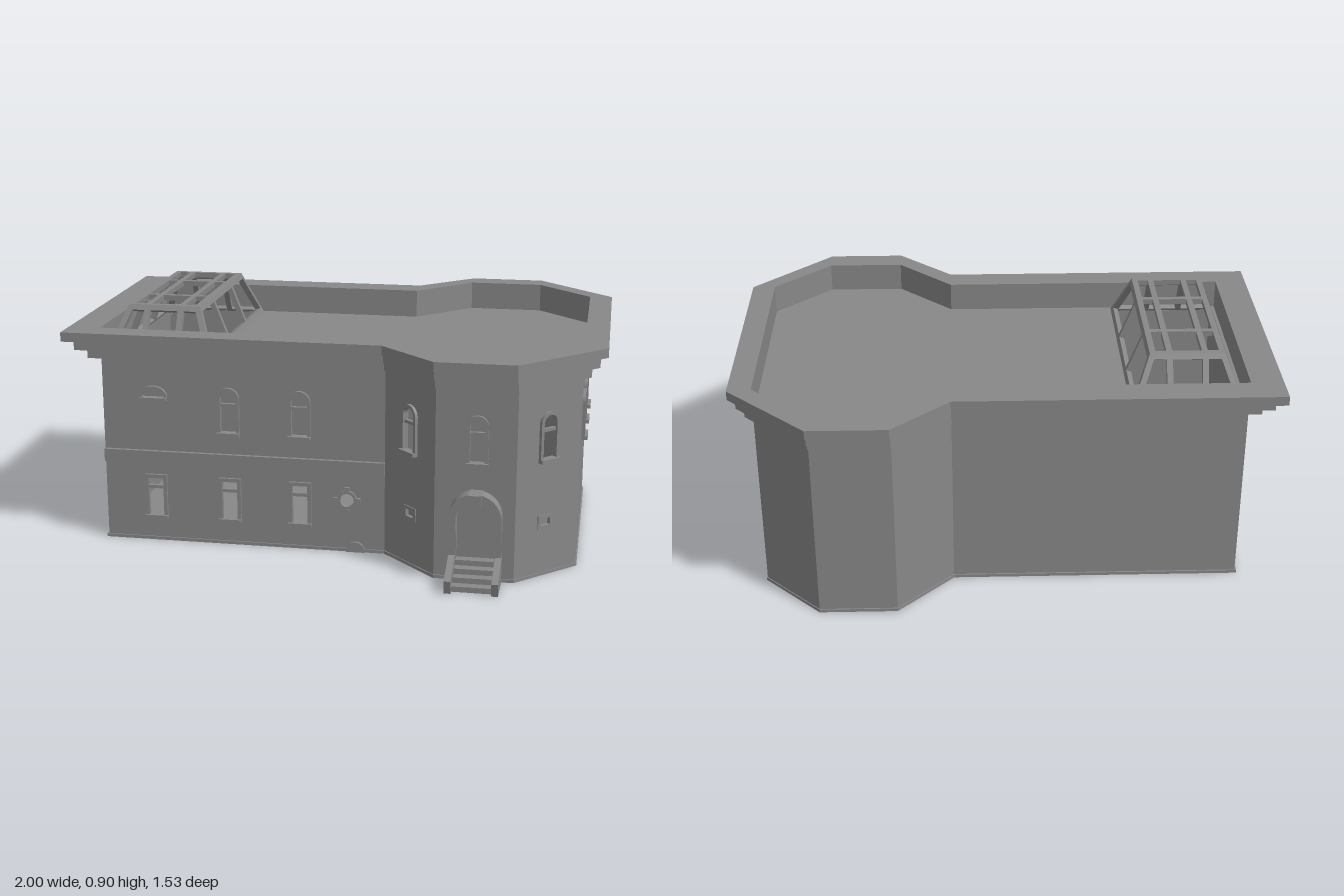
import * as THREE from 'three';

const mat = new THREE.MeshStandardMaterial({ color: 0x888888, flatShading: true, side: THREE.DoubleSide });

// Plan corners: x, z and the direction in which the cornice grows there
const PLAN = [
  [-0.88, 0.4, -1.2, 1], [0.2, 0.4, 0, 1], [0.41, 0.605, 0, 0.95], [0.7, 0.605, 0, 0.95], [0.913, 0.4, 0.87, 0],
  [0.913, -0.468, 0.87, -0.12], [0.7, -0.677, 0, -0.93], [0.41, -0.677, 0, -0.93], [0.2, -0.468, 0, -1.1],
  [-0.88, -0.468, -1.2, -1.1],
];
const TOP = 0.72, THICK = 0.02;

function add(parent, name, geometry, x = 0, y = 0, z = 0) {
  const m = new THREE.Mesh(geometry, mat);
  m.name = name;
  m.position.set(x, y, z);
  parent.add(m);
  return m;
}
const box = (parent, name, w, h, d, x, y, z) => add(parent, name, new THREE.BoxGeometry(w, h, d), x, y, z);
const extrude = (shape, depth) => new THREE.ExtrudeGeometry(shape, { depth, bevelEnabled: false, curveSegments: 10 });
const points = (list) => list.map(([x, y]) => new THREE.Vector2(x, y));

// Plan outline grown by an offset, drawn flat as (x, -z)
const outline = (o) => points(PLAN.map(([x, z, dx, dz]) => [x + dx * o, -(z + dz * o)]));
function slab(parent, name, o, y0, y1, hole) {
  const s = new THREE.Shape(outline(o));
  if (hole) s.holes.push(new THREE.Path(hole));
  add(parent, name, extrude(s, y1 - y0).rotateX(-Math.PI / 2), 0, y0, 0);
}

// Opening outline: rectangle with an optional arched head of the given rise
function opening(Type, u, w, y0, y1, rise = 0) {
  const p = new Type(), r = w / 2;
  p.moveTo(u - r, y0);
  p.lineTo(u + r, y0);
  p.lineTo(u + r, y1 - rise);
  if (rise) p.absellipse(u, y1 - rise, r, rise, 0, Math.PI, false, 0);
  else p.lineTo(u - r, y1);
  p.closePath();
  return p;
}
function frame(parent, name, u, w, y0, y1, rise, t, depth) {
  const s = opening(THREE.Shape, u, w, y0, y1, rise);
  s.holes.push(opening(THREE.Path, u, w - 2 * t, y0 + t, y1 - t, rise && Math.max(rise - t, 0.005)));
  add(parent, name, extrude(s, depth), 0, 0, -0.01);
}

// Window kinds: each cuts the wall and adds its trim
const cut = (shape, ...a) => shape.holes.push(opening(THREE.Path, ...a));
function archedWindow(g, shape, u, w = 0.084) {
  cut(shape, u, w - 0.006, 0.44, 0.617, w / 2 - 0.003);
  frame(g, 'archedWindowFrame', u, w, 0.435, 0.62, w / 2, 0.012, 0.022);
  box(g, 'windowBar', w - 0.016, 0.012, 0.014, u, 0.552, -0.002);
  box(g, 'windowSill', w + 0.002, 0.014, 0.03, u, 0.44, 0.008);
}
function tallWindow(g, shape, u) {
  cut(shape, u, 0.08, 0.095, 0.26);
  frame(g, 'windowFrame', u, 0.086, 0.09, 0.265, 0, 0.014, 0.02);
  box(g, 'windowBar', 0.07, 0.012, 0.014, u, 0.215, -0.002);
  box(g, 'windowSill', 0.088, 0.014, 0.028, u, 0.097, 0.006);
}
function lunette(g, shape, u) {
  cut(shape, u, 0.098, 0.564, 0.61, 0.035);
  frame(g, 'lunetteFrame', u, 0.106, 0.56, 0.615, 0.04, 0.01, 0.022);
  box(g, 'lunettePane', 0.1, 0.05, 0.006, u, 0.587, -0.017);
  box(g, 'lunetteSill', 0.106, 0.012, 0.028, u, 0.565, 0.006);
}
function smallWindow(g, shape, u) {
  cut(shape, u, 0.06, 0.185, 0.225);
  frame(g, 'smallWindowFrame', u, 0.068, 0.18, 0.232, 0, 0.013, 0.014);
  box(g, 'smallWindowPane', 0.062, 0.046, 0.006, u, 0.206, -0.017);
}
function rosette(g, shape, u) {
  const y = 0.205;
  shape.holes.push(new THREE.Path().absarc(u, y, 0.03, 0, Math.PI * 2));
  const ring = new THREE.Shape().absarc(u, y, 0.037, 0, Math.PI * 2);
  ring.holes.push(new THREE.Path().absarc(u, y, 0.026, 0, Math.PI * 2));
  add(g, 'rosetteRing', extrude(ring, 0.02), 0, 0, -0.01);
  for (let i = 0; i < 4; i++) {
    const a = i * Math.PI / 2;
    box(g, 'rosetteKey', 0.018, 0.018, 0.026, u + 0.042 * Math.cos(a), y + 0.042 * Math.sin(a), 0);
  }
}
function cellarArch(g, shape, u) {
  add(g, 'cellarArch', extrude(opening(THREE.Shape, u, 0.07, 0, 0.04, 0.035), 0.02), 0, 0, -0.01);
}
function entrance(g, shape, u) {
  cut(shape, u, 0.14, 0.002, 0.315, 0.07);
  add(g, 'doorLeaf', extrude(opening(THREE.Shape, u, 0.15, 0, 0.318, 0.075), 0.01), 0, 0, -0.03);
  // Hood over the door on stepped corbels
  const hood = new THREE.Shape();
  hood.moveTo(u + 0.095, 0.215);
  hood.lineTo(u + 0.095, 0.25);
  hood.absarc(u, 0.25, 0.095, 0, Math.PI, false);
  hood.lineTo(u - 0.095, 0.215);
  hood.lineTo(u - 0.068, 0.215);
  hood.lineTo(u - 0.068, 0.25);
  hood.absarc(u, 0.25, 0.068, Math.PI, 0, true);
  hood.lineTo(u + 0.068, 0.215);
  add(g, 'doorHood', extrude(hood, 0.065), 0, 0, -0.01);
  box(g, 'keystone', 0.045, 0.045, 0.08, u, 0.322, 0.03);
  for (const s of [-1, 1]) {
    box(g, 'upperCorbel', 0.027, 0.03, 0.05, u + s * 0.0815, 0.2, 0.015);
    box(g, 'lowerCorbel', 0.027, 0.03, 0.03, u + s * 0.0815, 0.17, 0.005);
    box(g, 'doorJamb', 0.025, 0.155, 0.016, u + s * 0.0815, 0.0775, 0);
    // Sloping cheek wall beside the steps
    const cheek = new THREE.Shape(points([[0, 0], [0.14, 0], [0.152, 0.05], [0, 0.097]]));
    add(g, 'stepCheek', extrude(cheek, 0.024).rotateY(-Math.PI / 2), u + s * 0.084 + 0.012, 0, 0);
  }
  for (let i = 0; i < 4; i++) {
    const d = 0.14 - i * 0.035;
    box(g, 'step', 0.15, 0.02, d, u, 0.01 + i * 0.02, d / 2 - 0.02);
  }
}

// Openings per wall, with distance from the middle of that wall and optional width
const OPENINGS = {
  0: [[lunette, -0.342], [archedWindow, -0.053], [archedWindow, 0.218], [tallWindow, -0.342], [tallWindow, -0.053],
    [tallWindow, 0.218], [rosette, 0.398], [cellarArch, 0.43]],
  1: [[archedWindow, 0.004], [smallWindow, 0.007]],
  2: [[archedWindow, 0.005, 0.077], [entrance, 0.005]],
  3: [[archedWindow, -0.006], [smallWindow, -0.009]],
  4: [[archedWindow, -0.216, 0.09], [archedWindow, 0, 0.09], [archedWindow, 0.215, 0.09]],
};

function buildWall(i) {
  const [ax, az] = PLAN[i], [bx, bz] = PLAN[(i + 1) % PLAN.length];
  const len = Math.hypot(bx - ax, bz - az), g = new THREE.Group();
  g.name = 'wallBay' + (i + 1);
  g.position.set((ax + bx) / 2, 0, (az + bz) / 2);
  g.rotation.y = Math.atan2(az - bz, bx - ax);
  const shape = opening(THREE.Shape, 0, len, 0, TOP);
  for (const [make, ...args] of OPENINGS[i] || []) make(g, shape, ...args);
  add(g, 'wall', extrude(shape, THICK), 0, 0, -THICK);
  if (i === 0) box(g, 'stringCourse', len, 0.05, 0.03, 0, 0.335, 0);
  return g;
}

// Glazing frame: half width b at the foot and t at the head, two uprights at +-s, panes in the given rows
function glazingFrame(b, t, h, s, rows) {
  const half = (y) => b - (b - t) * y / h, m = 0.011;
  const shape = new THREE.Shape(points([[-b, 0], [b, 0], [t, h], [-t, h]]));
  for (const [y0, y1] of rows) {
    const edge = [half(y0) - 0.022, half(y1) - 0.022];
    shape.holes.push(new THREE.Path(points([[m - s, y0], [s - m, y0], [s - m, y1], [m - s, y1]])));
    for (const k of [-1, 1]) {
      shape.holes.push(new THREE.Path(points([[k * (s + m), y0], [k * edge[0], y0], [k * edge[1], y1], [k * (s + m), y1]])));
    }
  }
  return extrude(shape, 0.02).translate(0, 0, -0.02);
}

// Hipped skylight: four leaning frames and a flat one on top
function buildSkylight() {
  const g = new THREE.Group(), rise = 0.18;
  g.name = 'skylight';
  g.position.set(-0.661, TOP, -0.0385);
  const base = [0.208, 0.4275], head = [0.138, 0.328], uprights = [0.065, 0.14];
  for (let k = 0; k < 4; k++) {
    const a = k % 2, run = base[1 - a] - head[1 - a], slope = Math.hypot(run, rise);
    const side = new THREE.Group();
    side.name = 'skylightSide';
    side.rotation.y = k * Math.PI / 2;
    const panel = add(side, 'slopingFrame',
      glazingFrame(base[a], head[a], slope, uprights[a], [[0.022, slope - 0.022]]), 0, 0, base[1 - a]);
    panel.rotation.x = -Math.atan2(run, rise);
    g.add(side);
  }
  const rows = [[0.022, 0.177], [0.199, 0.457], [0.479, 0.634]];
  add(g, 'topFrame', glazingFrame(head[0], head[0], 2 * head[1], uprights[0], rows), 0, rise, head[1])
    .rotation.x = -Math.PI / 2;
  return g;
}

export function createModel() {
  const building = new THREE.Group();
  building.name = 'building';
  for (let i = 0; i < PLAN.length; i++) building.add(buildWall(i));
  slab(building, 'plinth', 0.005, 0, 0.012);
  // Roof deck, open below the skylight
  slab(building, 'roofDeck', -0.002, TOP - 0.02, TOP,
    points([[-0.845, -0.365], [-0.475, -0.365], [-0.475, 0.44], [-0.845, 0.44]]));
  // Stepped cornice, its inside forming the parapet
  for (const [o, y0, y1] of [[0.035, 0.72, 0.757], [0.068, 0.757, 0.795], [0.1, 0.795, 0.83]]) {
    slab(building, 'cornice', o, y0, y1, outline(0));
  }
  building.add(buildSkylight());
  building.position.z = 0.005;
  const model = new THREE.Group();
  model.name = 'model';
  model.add(building);
  return model;
}
